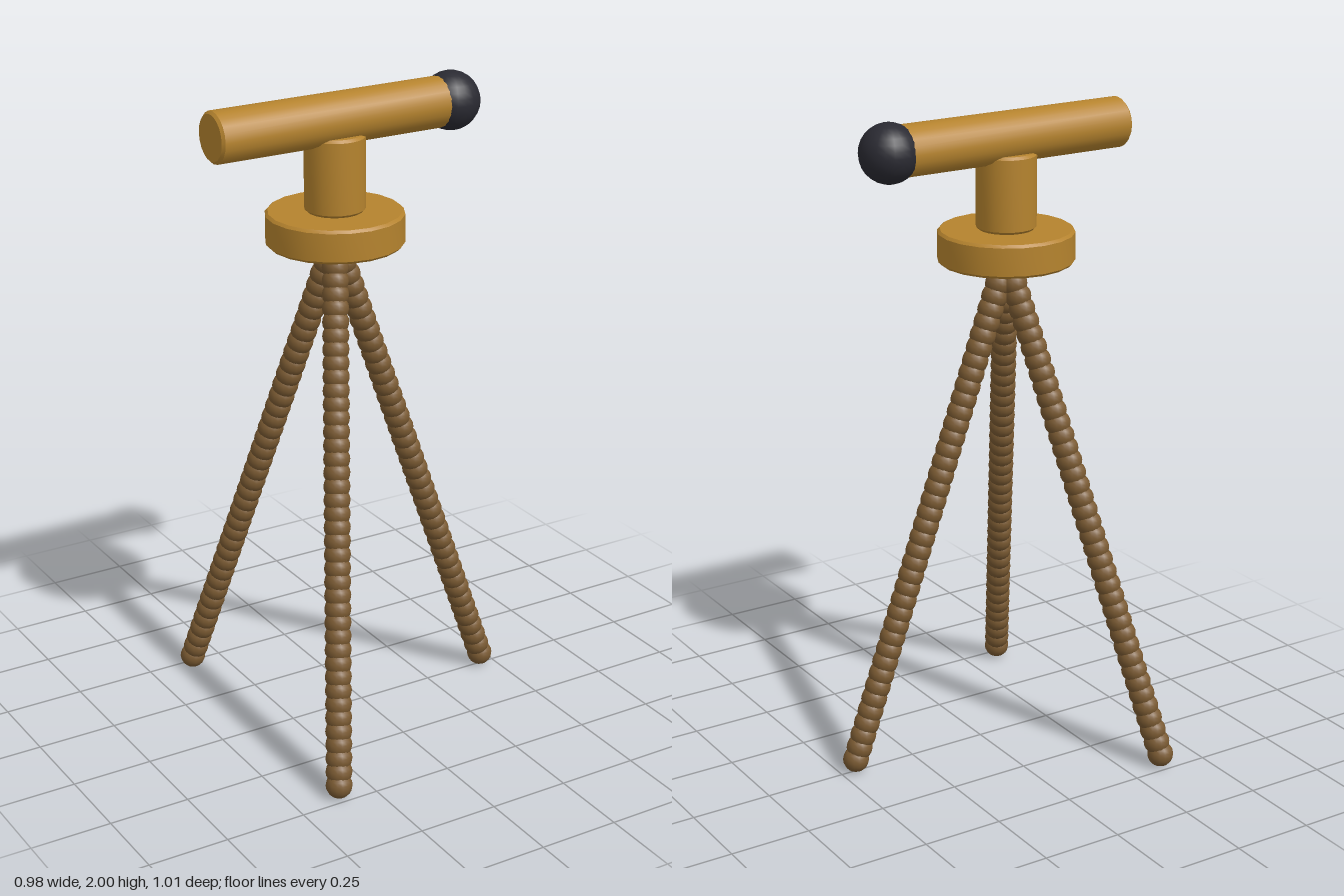
import * as THREE from 'three';
import { toCreasedNormals } from 'three/addons/utils/BufferGeometryUtils.js';

const material = (name, color) => {
  const m = new THREE.MeshStandardMaterial({ color });
  m.name = name;
  return m;
};

// Upright cylinder with slightly bevelled rims, standing on y = 0
function bevelledCylinder(radius, height, bevel = 0.008) {
  const profile = [
    [0, 0], [radius - bevel, 0], [radius, bevel],
    [radius, height - bevel], [radius - bevel, height], [0, height],
  ].map(([x, y]) => new THREE.Vector2(x, y));
  return toCreasedNormals(new THREE.LatheGeometry(profile, 20), 0.5);
}

export function createModel() {
  const brass = material('brass', 0xb5832e);
  const wood = material('brown', 0x7a5a32);
  const dark = material('dark lens', 0x2a2a32);

  const model = new THREE.Group();
  model.name = 'telescope';
  const axisX = -0.09;

  const add = (name, geometry, mat, x, y, z = 0, parent = model) => {
    const mesh = new THREE.Mesh(geometry, mat);
    mesh.name = name;
    mesh.position.set(x, y, z);
    parent.add(mesh);
    return mesh;
  };

  // Mount plate and column
  add('mountPlate', bevelledCylinder(0.205, 0.1), brass, axisX, 1.54);
  add('column', bevelledCylinder(0.09, 0.23), brass, axisX, 1.64);

  // Telescope tube along x, with the dark ball at its end
  const tube = add('tube', bevelledCylinder(0.076, 0.78), brass, -0.49, 1.913);
  tube.rotation.z = -Math.PI / 2;
  add('lensBall', new THREE.SphereGeometry(0.0885, 20, 14), dark, 0.305, 1.912);

  // Three splayed legs, each a chain of overlapping beads
  const bead = new THREE.SphereGeometry(0.04, 14, 10);
  const beads = 40;
  const top = new THREE.Vector3(axisX, 1.55, 0);
  for (let i = 0; i < 3; i++) {
    const angle = (i * Math.PI * 2) / 3;
    const foot = new THREE.Vector3(axisX + 0.54 * Math.cos(angle), 0.04, 0.54 * Math.sin(angle));
    const leg = new THREE.Group();
    leg.name = `leg${i + 1}`;
    for (let j = 0; j <= beads; j++) {
      const p = top.clone().lerp(foot, j / beads);
      add('legBead', bead, wood, p.x, p.y, p.z, leg);
    }
    model.add(leg);
  }
  return model;
}
